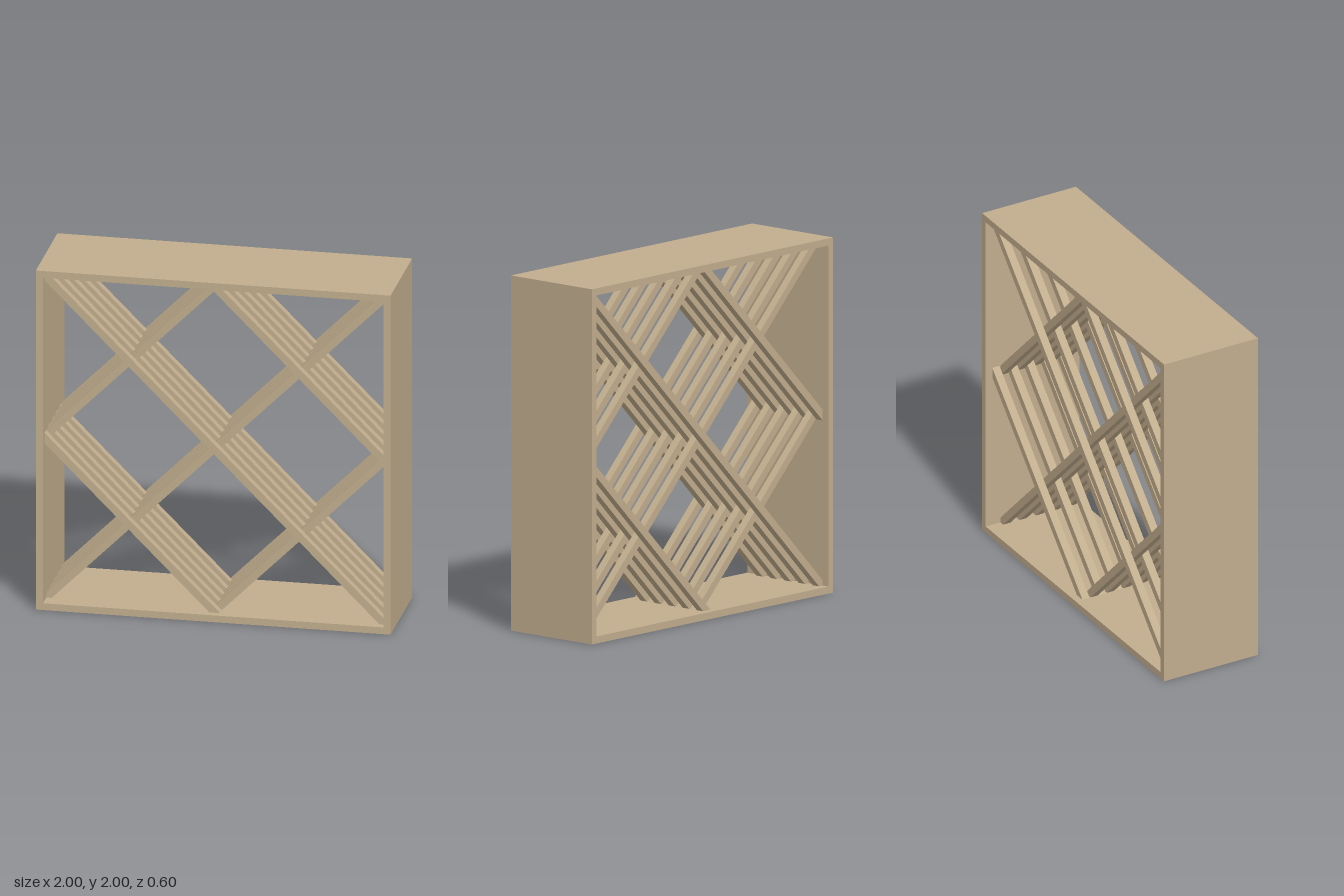
import * as THREE from 'three';

const DEPTH = 0.6, WALL = 0.04, INNER = 0.96; // frame depth, board thickness, half opening
const SLAT_W = 0.046, SLAT_T = 0.043;         // slat size along z and across its length
const LAYERS = 10, FRONT_Z = 0.235;           // alternating slat layers, front to back

// Slat outline in the opening (centred on 0,0) for the line y = x + offset, ends cut to the frame
function slatShape(offset) {
  const h = SLAT_T / Math.SQRT2, a = INNER;
  let points;
  if (offset === 0) {
    points = [[-a, -a], [-a + h, -a], [a, a - h], [a, a], [a - h, a], [-a, -a + h]];
  } else {
    points = [[-a, -h], [-a, h], [-h, a], [h, a]];
    if (offset < 0) points = points.map(([x, y]) => [-x, -y]);
  }
  return new THREE.Shape(points.map(([x, y]) => new THREE.Vector2(x, y)));
}

export function createModel() {
  const group = new THREE.Group();
  const wood = new THREE.MeshStandardMaterial({ color: 0xc1ad8d });
  wood.name = 'paleWood';

  // Outer frame: top, bottom and two side boards
  const board = (name, w, h, x, y) => {
    const mesh = new THREE.Mesh(new THREE.BoxGeometry(w, h, DEPTH), wood);
    mesh.name = name;
    mesh.position.set(x, y, 0);
    group.add(mesh);
  };
  board('topBoard', 2, WALL, 0, 2 - WALL / 2);
  board('bottomBoard', 2, WALL, 0, WALL / 2);
  board('leftBoard', WALL, 2 - 2 * WALL, 1 - WALL / 2, 1);
  board('rightBoard', WALL, 2 - 2 * WALL, -1 + WALL / 2, 1);

  // Diagonal lattice: falling and rising slats take turns through the depth
  const slats = [-INNER, 0, INNER].map((offset) => {
    const geo = new THREE.ExtrudeGeometry(slatShape(offset), { depth: SLAT_W, bevelEnabled: false });
    return geo.translate(0, 0, -SLAT_W / 2);
  });
  const step = (2 * FRONT_Z) / (LAYERS - 1);
  for (let i = 0; i < LAYERS; i++) {
    const layer = new THREE.Group();
    const falling = i % 2 === 0;
    layer.name = falling ? 'fallingSlats' : 'risingSlats';
    layer.position.set(0, 1, FRONT_Z - i * step);
    if (falling) layer.rotation.y = Math.PI;
    for (const geo of slats) {
      const slat = new THREE.Mesh(geo, wood);
      slat.name = 'slat';
      layer.add(slat);
    }
    group.add(layer);
  }
  return group;
}
